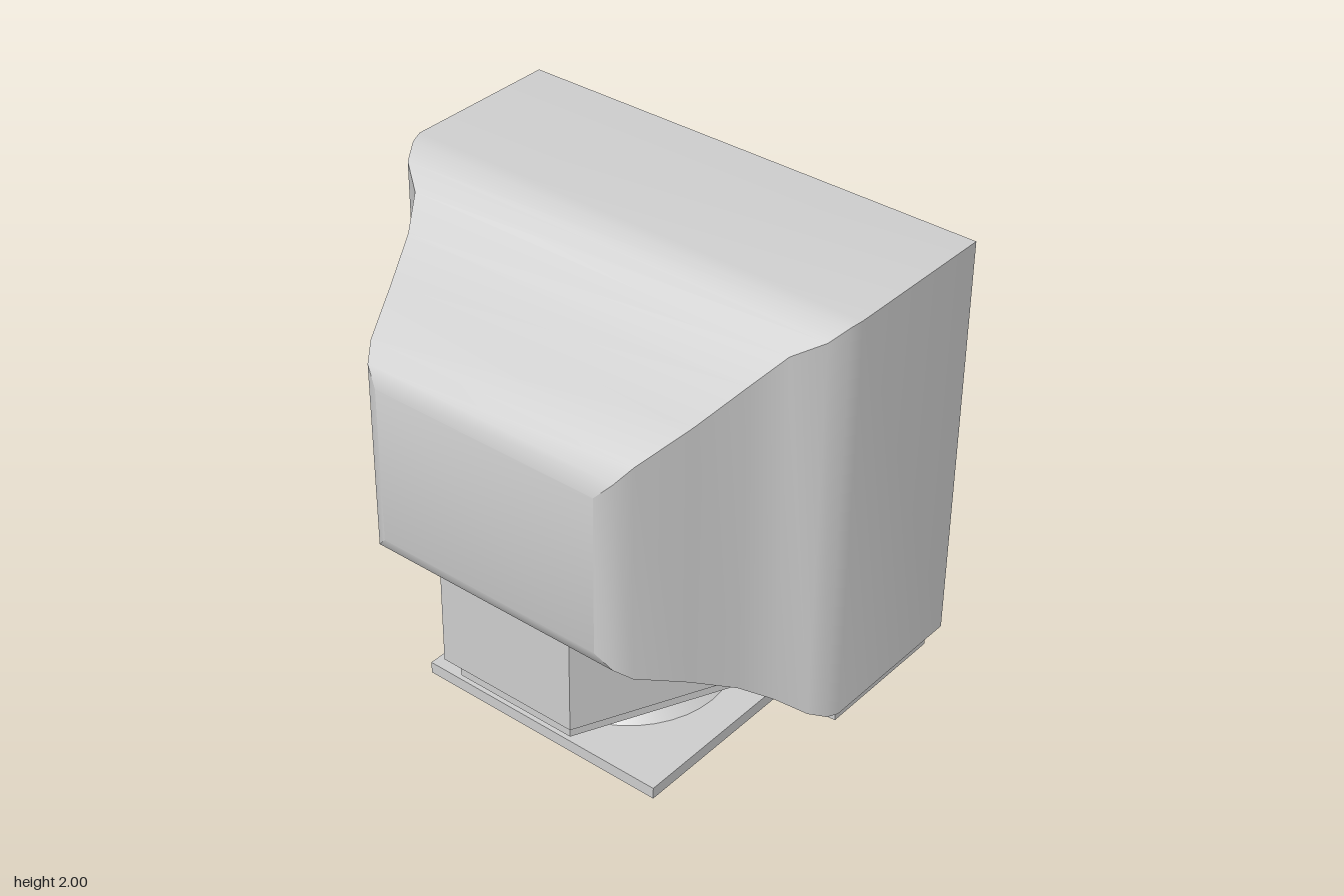
import * as THREE from 'three';
import { toCreasedNormals } from 'three/addons/utils/BufferGeometryUtils.js';

const grey = new THREE.MeshStandardMaterial({ color: 0xcccccc });

// The screen faces +x; the tube tapers towards -x.
const FRONT = 0.71;
const HALF = 0.997;
const OPENING = { z: 0.865, bottom: 0.445, top: 1.87 };

function part(name, geometry) {
  const mesh = new THREE.Mesh(geometry, grey);
  mesh.name = name;
  return mesh;
}

// Rectangular cross-sections lofted from front to back, closed at the back
function housingGeometry() {
  const sections = [ // x, bottom, top, half width
    [FRONT, 0.31, 2, HALF], [0.05, 0.31, 2, HALF], [0, 0.32, 1.99, 0.983],
    [-0.07, 0.36, 1.95, 0.945], [-0.14, 0.42, 1.89, 0.845],
    [-0.26, 0.51, 1.8, 0.77], [-0.44, 0.61, 1.7, 0.69],
    [-0.64, 0.705, 1.605, 0.6], [-0.7, 0.76, 1.55, 0.56], [-0.73, 0.825, 1.485, 0.5],
  ];
  const positions = [], index = [];
  sections.forEach(([x, lo, hi, w], i) => {
    positions.push(x, lo, w, x, lo, -w, x, hi, -w, x, hi, w);
    if (i === 0) return;
    for (let k = 0; k < 4; k++) {
      const a = (i - 1) * 4 + k, b = (i - 1) * 4 + (k + 1) % 4;
      index.push(a, a + 4, b, b, a + 4, b + 4);
    }
  });
  const e = (sections.length - 1) * 4;
  index.push(e, e + 2, e + 1, e, e + 3, e + 2);
  const g = new THREE.BufferGeometry();
  g.setAttribute('position', new THREE.Float32BufferAttribute(positions, 3));
  g.setIndex(index);
  return toCreasedNormals(g, 0.6);
}

// Flat front frame around the screen opening
function bezelGeometry() {
  const rect = (P, w, lo, hi) => new P([
    new THREE.Vector2(-w, lo), new THREE.Vector2(w, lo),
    new THREE.Vector2(w, hi), new THREE.Vector2(-w, hi),
  ]);
  const frame = rect(THREE.Shape, HALF, 0.31, 2);
  frame.holes.push(rect(THREE.Path, OPENING.z, OPENING.bottom, OPENING.top));
  return new THREE.ShapeGeometry(frame).rotateY(Math.PI / 2).translate(FRONT, 0, 0);
}

// Dished screen; the outermost ring of the grid forms the recess walls
function screenGeometry() {
  const n = 8, side = n + 3;
  const g = new THREE.PlaneGeometry(1, 1, n + 2, n + 2);
  const pos = g.attributes.position;
  const height = OPENING.top - OPENING.bottom;
  const dish = (t) => 1 - Math.abs(t) ** 2.5;
  for (let i = 0; i < pos.count; i++) {
    const c = i % side - 1, r = Math.floor(i / side) - 1;
    const rim = c < 0 || r < 0 || c > n || r > n;
    const u = THREE.MathUtils.clamp(c / n, 0, 1) * 2 - 1;
    const v = 1 - THREE.MathUtils.clamp(r / n, 0, 1) * 2;
    const depth = rim ? 0 : 0.08 + 0.03 * u * u * v * v + 0.18 * dish(u) * dish(v);
    pos.setXYZ(i, FRONT - depth, OPENING.bottom + height * (v + 1) / 2, -u * OPENING.z);
  }
  return toCreasedNormals(g, 0.8);
}

// Plan outline (x, z for one half, mirrored) extruded upwards
function slabGeometry(half, y0, y1) {
  const mirrored = half.map(([x, z]) => [x, -z]).reverse();
  const shape = new THREE.Shape([...half, ...mirrored].map(([x, z]) => new THREE.Vector2(x, z)));
  return new THREE.ExtrudeGeometry(shape, { depth: y1 - y0, bevelEnabled: false })
    .rotateX(-Math.PI / 2).translate(0, y0, 0);
}

function frustum(rTop, rBottom, y0, y1) {
  return new THREE.CylinderGeometry(rTop, rBottom, y1 - y0, 40)
    .translate(0.055, (y0 + y1) / 2, 0);
}

export function createModel() {
  const model = new THREE.Group();
  model.name = 'monitor';

  model.add(
    part('housing', housingGeometry()),
    part('bezel', bezelGeometry()),
    part('screen', screenGeometry()),
  );

  // Power knob on the lower edge of the bezel
  const knob = part('knob', new THREE.SphereGeometry(0.042, 16, 12));
  knob.scale.x = 0.5;
  knob.position.set(0.706, 0.378, 0.633);
  model.add(knob);

  // Tapered block below the tube, and the stepped plate under the housing
  model.add(
    part('rearSupport', slabGeometry([[0.1, 0.66], [-0.645, 0.31]], 0.31, 0.712)),
    part('underPlate', slabGeometry(
      [[0.67, 0.955], [0.095, 0.955], [0.06, 0.58], [-0.6, 0.27]], 0.226, 0.311)),
  );

  // Swivel stand, narrowing to a waist
  model.add(
    part('swivelTop', frustum(0.39, 0.325, 0.123, 0.228)),
    part('swivelBottom', frustum(0.325, 0.415, 0.05, 0.123)),
    part('base', new THREE.BoxGeometry(1.04, 0.05, 1.115).translate(0.05, 0.025, 0)),
  );
  return model;
}
